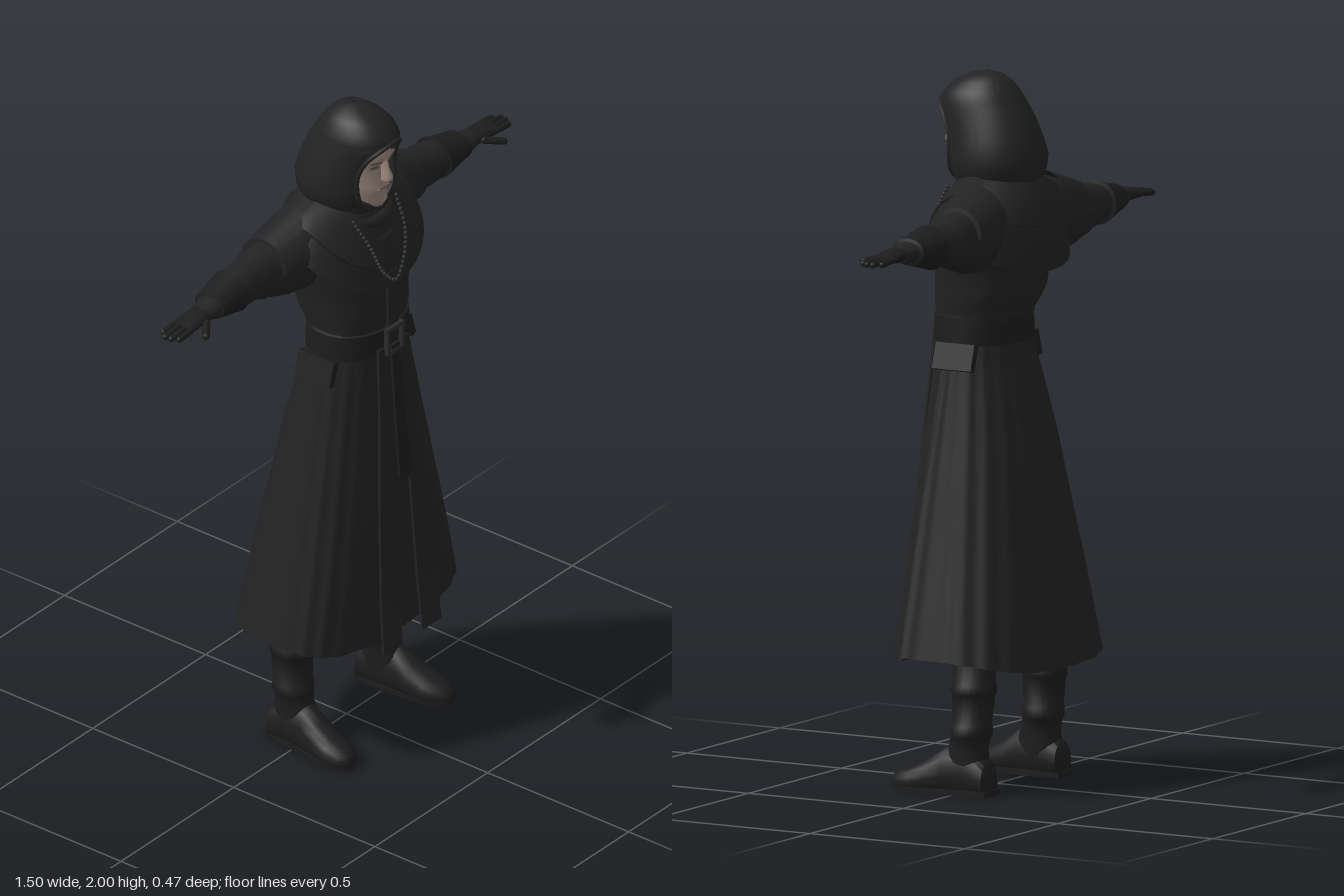
import * as THREE from 'three';
import { toCreasedNormals } from 'three/addons/utils/BufferGeometryUtils.js';

const mat = (name, color) => new THREE.MeshStandardMaterial({ name, color, side: THREE.DoubleSide });
const cloth = mat('black cloth', 0x222222);
const leather = mat('black leather', 0x1d1d1d);
const metal = mat('dark metal', 0x2b2b2b);
const skin = mat('skin', 0x98857a);
const shade = mat('dark skin', 0x5f5148);

const V = (x, y, z) => new THREE.Vector3(x, y, z);
const spow = (v, p) => Math.sign(v) * Math.abs(v) ** (2 / p);

// Skin a surface over equal-length rows of points; s = -1 mirrors it in x
function loft(rows, { closed = true, caps = false, s = 1, crease = 0.8 } = {}) {
  const n = rows[0].length, pos = [], idx = [];
  const tri = (a, b, c) => (s > 0 ? idx.push(a, b, c) : idx.push(a, c, b));
  rows.flat().forEach((p) => pos.push(p.x * s, p.y, p.z));
  for (let i = 0; i < rows.length - 1; i++) {
    for (let j = 0; j < (closed ? n : n - 1); j++) {
      const k = (j + 1) % n, a = i * n + j, b = i * n + k;
      tri(a, b, b + n);
      tri(a, b + n, a + n);
    }
  }
  if (caps) [0, rows.length - 1].forEach((r) => {
    const c = rows[r].reduce((m, p) => m.add(p), V(0, 0, 0)).divideScalar(n), ci = pos.length / 3;
    pos.push(c.x * s, c.y, c.z);
    for (let j = 0; j < n; j++) {
      const a = r * n + j, b = r * n + ((j + 1) % n);
      r ? tri(a, b, ci) : tri(b, a, ci);
    }
  });
  const g = new THREE.BufferGeometry();
  g.setAttribute('position', new THREE.Float32BufferAttribute(pos, 3));
  g.setIndex(idx);
  return toCreasedNormals(g, crease);
}

// Horizontal ring from the front round by +x; y may vary with the angle, gap opens the front
function ring(y, rx, zf, zb, { zc = (zf + zb) / 2, p = 2, n = 48, gap = null, pleat = () => 1 } = {}) {
  return Array.from({ length: gap === null ? n : n + 1 }, (_, j) => {
    const g = gap ?? 0, t = g + (j / n) * (2 * Math.PI - 2 * g);
    const c = Math.cos(t), k = pleat(t);
    return V(rx * k * spow(Math.sin(t), p), typeof y === 'function' ? y(t) : y,
      zc + (c > 0 ? zf - zc : zc - zb) * k * spow(c, p));
  });
}

// Ring across the arm: x, bottom, top, back z, front z
const armRing = ([x, y0, y1, z0, z1], from = 0, to = 2 * Math.PI, n = 24) =>
  Array.from({ length: to - from > 6 ? n : n + 1 }, (_, j) => {
    const t = from + ((to - from) * j) / n;
    return V(x, (y0 + y1) / 2 + ((y1 - y0) / 2) * Math.cos(t), (z0 + z1) / 2 + ((z1 - z0) / 2) * Math.sin(t));
  });

// Flat hanging strip; each row is x0, x1, y, z
const strip = (rows, s = 1, d = 0.008) => loft(rows.map(([a, b, y, z]) =>
  [V(a, y, z), V(b, y, z), V(b, y, z - d), V(a, y, z - d)]), { caps: true, s, crease: 0.5 });

export function createModel() {
  const root = new THREE.Group();
  const add = (name, geo, material, parent = root) => {
    const m = new THREE.Mesh(geo, material);
    m.name = name;
    parent.add(m);
    return m;
  };
  const finger = (name, a, b, r, parent) => {
    const m = add(name, new THREE.CapsuleGeometry(r, a.distanceTo(b), 4, 8), leather, parent);
    m.position.copy(a).lerp(b, 0.5);
    m.quaternion.setFromUnitVectors(V(0, 1, 0), b.clone().sub(a).normalize());
  };

  // Coat skirt with soft pleats and a hem that lifts at the sides
  const skirt = [[0.36, 0.345, 0.198, -0.235, 3, 0.04], [0.6, 0.3, 0.195, -0.205, 2.7, 0.04],
    [0.8, 0.255, 0.185, -0.175, 2.5, 0.04], [1.0, 0.212, 0.172, -0.145, 2.3, 0.04],
    [1.15, 0.178, 0.163, -0.11, 2.2, 0.04], [1.22, 0.163, 0.158, -0.09, 2.2, 0.04], [1.28, 0.15, 0.155, -0.078, 2.2, 0.04]];
  add('coatSkirt', loft(skirt.map(([y, rx, zf, zb, p, zc], i) => ring(
    (t) => y + (i ? 0 : 0.03 * Math.sin(t) ** 2 - 0.012 * Math.max(0, -Math.cos(t))), rx, zf, zb,
    { zc, p, n: 120, pleat: (t) => 1 + 0.012 * (Math.cos(20 * t) - 1) * (i < 6 ? 1 : 0) }))), cloth);

  // Upper coat
  const torso = [[1.25, 0.15, 0.155, -0.078], [1.33, 0.15, 0.153, -0.085], [1.36, 0.158, 0.158, -0.105], [1.4, 0.16, 0.158, -0.125],
    [1.46, 0.168, 0.156, -0.13], [1.53, 0.19, 0.15, -0.135], [1.61, 0.195, 0.125, -0.13], [1.69, 0.12, 0.09, -0.1]];
  add('coatBody', loft(torso.map(([y, rx, zf, zb]) => ring(y, rx, zf, zb,
    { p: 2.4, n: 72, pleat: (t) => 1 + 0.008 * Math.cos(14 * t + y * 20) }))), cloth);
  add('coatPlacket', strip([[-0.022, 0.022, 1.32, 0.166], [-0.022, 0.022, 1.4, 0.167], [-0.022, 0.022, 1.5, 0.162]]), cloth);

  // Belt, buckle and hanging belt end
  add('belt', loft([[1.247, 0.154], [1.25, 0.16], [1.325, 0.157], [1.328, 0.15]].map(([y, r]) =>
    ring(y, r, r + 0.006, -r + 0.072, { p: 2.2 }))), leather);
  for (const [w, h, x, y] of [[0.07, 0.012, 0, 1.325], [0.07, 0.012, 0, 1.25], [0.012, 0.08, -0.032, 1.287], [0.012, 0.08, 0.032, 1.287]])
    add('beltBuckle', new THREE.BoxGeometry(w, h, 0.014), metal).position.set(x, y, 0.17);
  add('beltEnd', strip([[-0.012, 0.012, 0.845, 0.212], [-0.026, 0.026, 0.86, 0.211], [-0.026, 0.026, 0.89, 0.209],
    [-0.02, 0.02, 1.05, 0.192], [-0.018, 0.018, 1.27, 0.174]]), leather);

  // Layered mantle, deep at front and back and lifted over the arms
  const mantle = (rows) => loft(rows.map(([f, side, b, rx, zf, zb]) => ring((t) => {
    const c = Math.cos(t);
    return c > 0 ? side + (f - side) * c ** 1.4 : side + (b - side) * (-c) ** 0.6;
  }, rx, zf, zb, { p: 2.4, n: 64 })));
  add('mantle', mantle([[1.462, 1.6, 1.45, 0.238, 0.16, -0.16], [1.465, 1.605, 1.452, 0.244, 0.17, -0.17],
    [1.55, 1.66, 1.56, 0.226, 0.146, -0.166], [1.63, 1.695, 1.655, 0.175, 0.12, -0.152], [1.71, 1.725, 1.72, 0.085, 0.088, -0.1]]), cloth);
  add('mantleCollarLayer', mantle([[1.53, 1.673, 1.58, 0.205, 0.155, -0.16], [1.535, 1.683, 1.585, 0.207, 0.162, -0.172],
    [1.63, 1.705, 1.66, 0.17, 0.128, -0.158], [1.71, 1.732, 1.725, 0.085, 0.092, -0.1]]), cloth);

  // Draped scarf folds at the throat
  [[1.69, 0.1, 0.02], [1.665, 0.108, 0.045], [1.64, 0.112, 0.075]].forEach(([y, r, drop], i) => {
    const pts = ring((t) => y + 0.03 - drop * Math.max(0, Math.cos(t)), r, 0.095 + i * 0.014, -0.1, { n: 20 });
    add('scarfFold', new THREE.TubeGeometry(new THREE.CatmullRomCurve3(pts, true), 48, 0.021, 8, true), cloth);
  });

  // Bead chain lying on the chest
  const chain = new THREE.CatmullRomCurve3([V(-0.095, 1.68, 0.1), V(-0.075, 1.6, 0.148), V(-0.045, 1.52, 0.166), V(0, 1.48, 0.176),
    V(0.045, 1.52, 0.166), V(0.075, 1.6, 0.148), V(0.095, 1.68, 0.1)]);
  chain.getSpacedPoints(36).forEach((p) => add('chainBead', new THREE.SphereGeometry(0.006, 8, 6), metal).position.copy(p));

  // Hood: rows of y, half width, front z, back z, half angle of the face opening
  const hood = [[1.66, 0.098, 0.09, -0.1, 0], [1.7, 0.115, 0.112, -0.122, 0.35], [1.73, 0.13, 0.125, -0.14, 0.55], [1.77, 0.132, 0.13, -0.146, 0.65],
    [1.82, 0.12, 0.137, -0.132, 0.73], [1.87, 0.108, 0.155, -0.112, 0.7], [1.9, 0.1, 0.164, -0.095, 0.5], [1.918, 0.096, 0.166, -0.084, 0.02],
    [1.945, 0.085, 0.152, -0.065, 0], [1.97, 0.066, 0.122, -0.045, 0], [1.99, 0.038, 0.08, -0.02, 0], [2.0, 0.004, 0.03, 0.022, 0]]
    .map(([y, rx, zf, zb, gap]) => ring(y, rx, zf, zb, { gap, p: 2.1 }));
  add('hood', loft(hood, { closed: false, crease: 1.2 }), cloth);
  const edge = hood.slice(1, 8);
  const rim = [...edge.map((r) => r[0]), ...edge.slice(0, -1).reverse().map((r) => r[r.length - 1])];
  add('hoodRim', new THREE.TubeGeometry(new THREE.CatmullRomCurve3(rim), 60, 0.007, 8), cloth);

  // Head and face
  const head = [[1.66, 0.05, 0.05, -0.06], [1.69, 0.045, 0.1, -0.07], [1.7, 0.04, 0.124, -0.08], [1.72, 0.052, 0.136, -0.085], [1.745, 0.061, 0.131, -0.09],
    [1.76, 0.066, 0.139, -0.09], [1.772, 0.068, 0.134, -0.09], [1.8, 0.074, 0.135, -0.09], [1.835, 0.076, 0.129, -0.09], [1.855, 0.077, 0.142, -0.09],
    [1.89, 0.075, 0.136, -0.085], [1.92, 0.065, 0.11, -0.07], [1.95, 0.04, 0.07, -0.03]];
  add('face', loft(head.map((r) => ring(...r, { p: 2.1, n: 32 })), { caps: true }), skin);
  add('nose', loft([[1.788, 0.009, 0.146], [1.794, 0.016, 0.162], [1.806, 0.014, 0.163], [1.83, 0.009, 0.15], [1.858, 0.008, 0.142]]
    .map(([y, w, z]) => ring(y, w, z, 0.115, { n: 12 })), { caps: true }), skin);
  add('mouth', new THREE.BoxGeometry(0.042, 0.004, 0.006), shade).position.set(0, 1.766, 0.136);

  for (const s of [1, -1]) {
    const side = new THREE.Group();
    side.name = s > 0 ? 'leftSide' : 'rightSide';
    root.add(side);

    // Eye and brow
    const eye = add('eye', new THREE.BoxGeometry(0.026, 0.009, 0.006), shade, side);
    eye.position.set(0.031 * s, 1.836, 0.122);
    eye.rotation.y = 0.28 * s;
    const brow = add('eyebrow', new THREE.BoxGeometry(0.036, 0.006, 0.008), shade, side);
    brow.position.set(0.033 * s, 1.855, 0.131);
    brow.rotation.set(0, 0.28 * s, 0.12 * s);

    // Sleeve with folds, shoulder flap and forearm guard
    add('sleeve', loft([[0.1, 1.47, 1.69, -0.12, 0.06], [0.19, 1.462, 1.685, -0.13, 0.05], [0.25, 1.468, 1.665, -0.132, 0.035],
      [0.29, 1.478, 1.655, -0.125, 0.02], [0.32, 1.488, 1.645, -0.12, 0.01], [0.34, 1.492, 1.648, -0.122, 0.012], [0.37, 1.504, 1.63, -0.115, 0],
      [0.4, 1.508, 1.634, -0.114, 0.005], [0.44, 1.516, 1.625, -0.108, 0.008], [0.5, 1.53, 1.615, -0.1, 0.005],
      [0.56, 1.542, 1.6, -0.085, 0], [0.6, 1.546, 1.592, -0.075, -0.008]].map((r) => armRing(r)), { caps: true, s }), cloth, side);
    add('shoulderFlap', loft([[0.17, 1.48, 1.705, -0.14, 0.07], [0.23, 1.48, 1.685, -0.143, 0.055], [0.3, 1.49, 1.662, -0.135, 0.028], [0.302, 1.49, 1.65, -0.124, 0.018]]
      .map((r) => armRing(r, -1.5, 1.5)), { closed: false, s }), cloth, side);
    add('forearmGuard', loft([[0.447, 1.52, 1.62, -0.1, 0], [0.45, 1.508, 1.634, -0.118, 0.014], [0.5, 1.522, 1.62, -0.107, 0.01],
      [0.55, 1.534, 1.61, -0.098, 0.006], [0.553, 1.545, 1.6, -0.085, -0.005]].map((r) => armRing(r)), { s }), leather, side);

    // Gloved hand
    add('hand', loft([[0.58, 1.548, 1.592, -0.073, -0.008], [0.62, 1.55, 1.59, -0.074, -0.004], [0.66, 1.552, 1.584, -0.077, 0],
      [0.685, 1.555, 1.578, -0.076, -0.002]].map((r) => armRing(r)), { caps: true, s }), leather, side);
    [0.725, 0.742, 0.74, 0.728].forEach((x, i) => {
      const z = -0.068 + i * 0.0195;
      finger('finger', V(0.675 * s, 1.567, z), V(x * s, 1.562, z), 0.009, side);
    });
    finger('thumb', V(0.615 * s, 1.566, -0.006), V(0.66 * s, 1.555, 0.029), 0.011, side);

    // Hip pouch flap and long front panel
    const pouch = add('hipPouch', new THREE.BoxGeometry(0.022, 0.075, 0.125), leather, side);
    pouch.position.set(0.172 * s, 1.217, 0.03);
    pouch.rotation.z = 0.3 * s;
    add('frontPanel', strip([[0.045, 0.128, 0.342, 0.236], [0.043, 0.118, 0.5, 0.219], [0.036, 0.1, 0.8, 0.2],
      [0.03, 0.08, 1.05, 0.184], [0.022, 0.064, 1.27, 0.165]], s), cloth, side);

    // Leg and boot
    add('leg', loft([[0.3, 0.056, 0.02, -0.1], [0.55, 0.07, 0.06, -0.1], [1.05, 0.075, 0.09, -0.06]].map(([y, r, zf, zb]) =>
      ring(y, r, zf, zb, { n: 20 }).map((p) => p.add(V(0.185 - 0.11 * Math.max(0, y - 0.3), 0, 0)))), { caps: true, s }), cloth, side);
    add('bootShaft', loft([[0.05, 0.046, 0.04, -0.092], [0.1, 0.048, 0.045, -0.09], [0.13, 0.047, 0.03, -0.085], [0.16, 0.052, 0.025, -0.09], [0.165, 0.056, 0.026, -0.095],
      [0.195, 0.056, 0.024, -0.097], [0.2, 0.052, 0.02, -0.094], [0.28, 0.056, 0.02, -0.103], [0.285, 0.06, 0.024, -0.107],
      [0.31, 0.06, 0.024, -0.107], [0.315, 0.056, 0.02, -0.103], [0.42, 0.06, 0.025, -0.105]].map(([y, r, zf, zb]) =>
      ring(y, r, zf, zb, { n: 24 }).map((p) => p.add(V(0.198 - 0.03 * y, 0, 0)))), { caps: true, s }), leather, side);
    add('bootFoot', loft([[-0.105, 0.03, 0.07], [-0.095, 0.045, 0.1], [-0.03, 0.048, 0.14], [0.03, 0.048, 0.135], [0.08, 0.052, 0.1],
      [0.13, 0.053, 0.073], [0.17, 0.045, 0.058], [0.192, 0.026, 0.045], [0.2, 0.01, 0.03]].map(([z, w, h]) =>
      Array.from({ length: 20 }, (_, j) => {
        const t = (j / 20) * 2 * Math.PI;
        return V(0.198 + 0.12 * Math.max(0, z) - w * Math.sin(t), Math.max(0.012, h * (0.4 + 0.6 * Math.cos(t))), z);
      })), { caps: true, s }), leather, side);
    const sole = new THREE.Shape();
    sole.moveTo(0.16, 0.105).quadraticCurveTo(0.198, 0.115, 0.24, 0.105);
    sole.lineTo(0.245, 0).lineTo(0.268, -0.13).quadraticCurveTo(0.225, -0.27, 0.168, -0.13);
    sole.lineTo(0.152, 0).closePath();
    const solePts = sole.getPoints(8);
    add('bootSole', loft([0, 0.016].map((y) => solePts.slice(0, -1).map((p) => V(p.x, y, -p.y)).reverse()), { caps: true, s }), leather, side);
  }
  return root;
}
